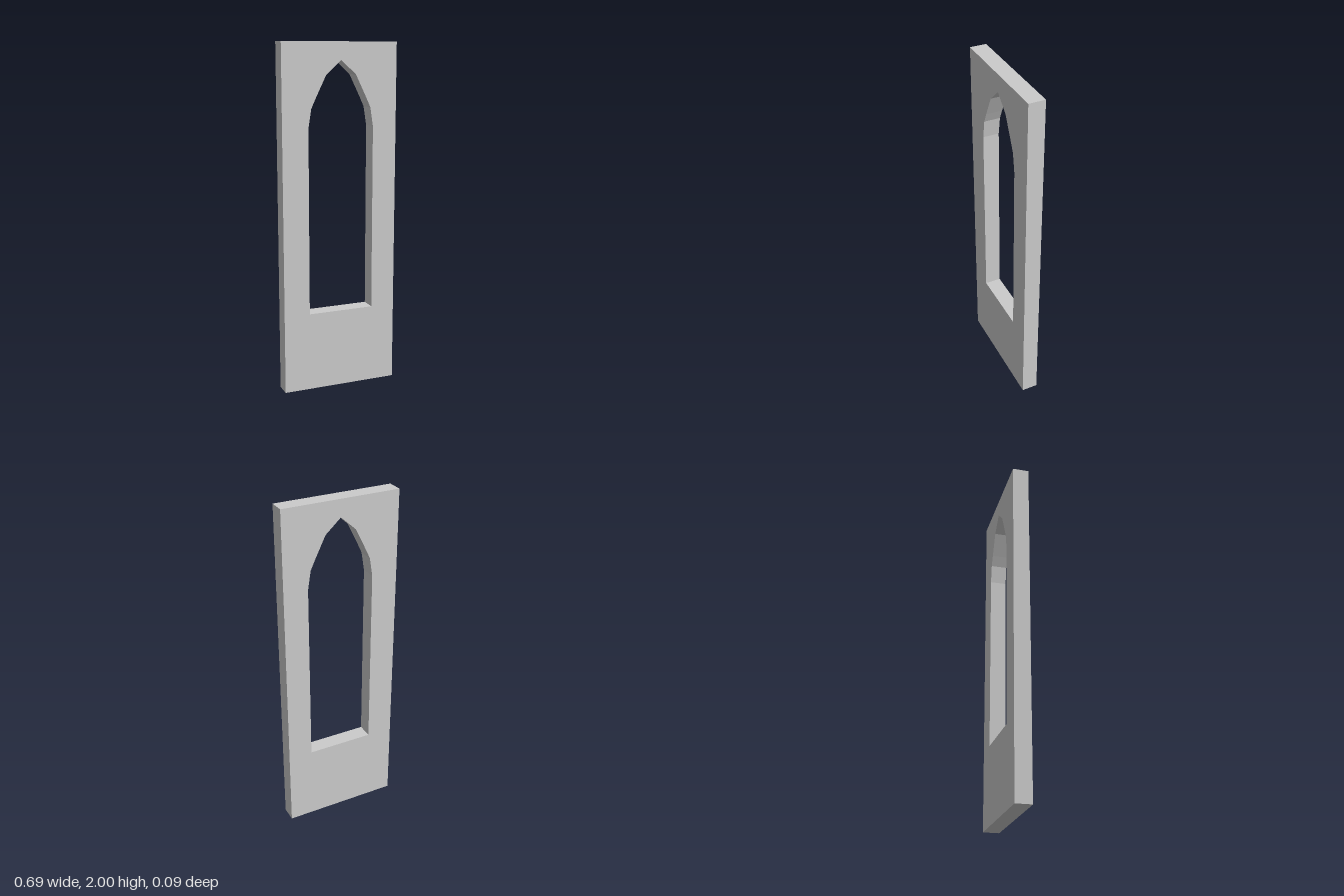
import * as THREE from 'three';

const WIDTH = 0.686, HEIGHT = 2, DEPTH = 0.094;
const OPENING_X = 0.005, SILL = 0.46, APEX = 1.9;

// Half-width and height of the opening's edge, from sill up to just below the apex
const EDGE = [[0.195, SILL], [0.195, 1.53], [0.178, 1.637], [0.151, 1.695], [0.089, 1.82]];

export function createModel() {
  const group = new THREE.Group();
  group.name = 'archedWindowWall';

  // Wall slab outline
  const w = WIDTH / 2;
  const wall = new THREE.Shape([[-w, 0], [w, 0], [w, HEIGHT], [-w, HEIGHT]]
    .map(([x, y]) => new THREE.Vector2(x, y)));

  // Pointed-arch opening, mirrored about its own centre line
  const side = (s) => EDGE.map(([x, y]) => new THREE.Vector2(OPENING_X + s * x, y));
  wall.holes.push(new THREE.Path([
    ...side(-1), new THREE.Vector2(OPENING_X, APEX), ...side(1).reverse(),
  ]));

  const geometry = new THREE.ExtrudeGeometry(wall, { depth: DEPTH, bevelEnabled: false });
  geometry.translate(0, 0, -DEPTH / 2);
  const mesh = new THREE.Mesh(geometry,
    new THREE.MeshStandardMaterial({ color: 0xcccccc, flatShading: true }));
  mesh.name = 'wallWithPointedOpening';
  group.add(mesh);
  return group;
}
